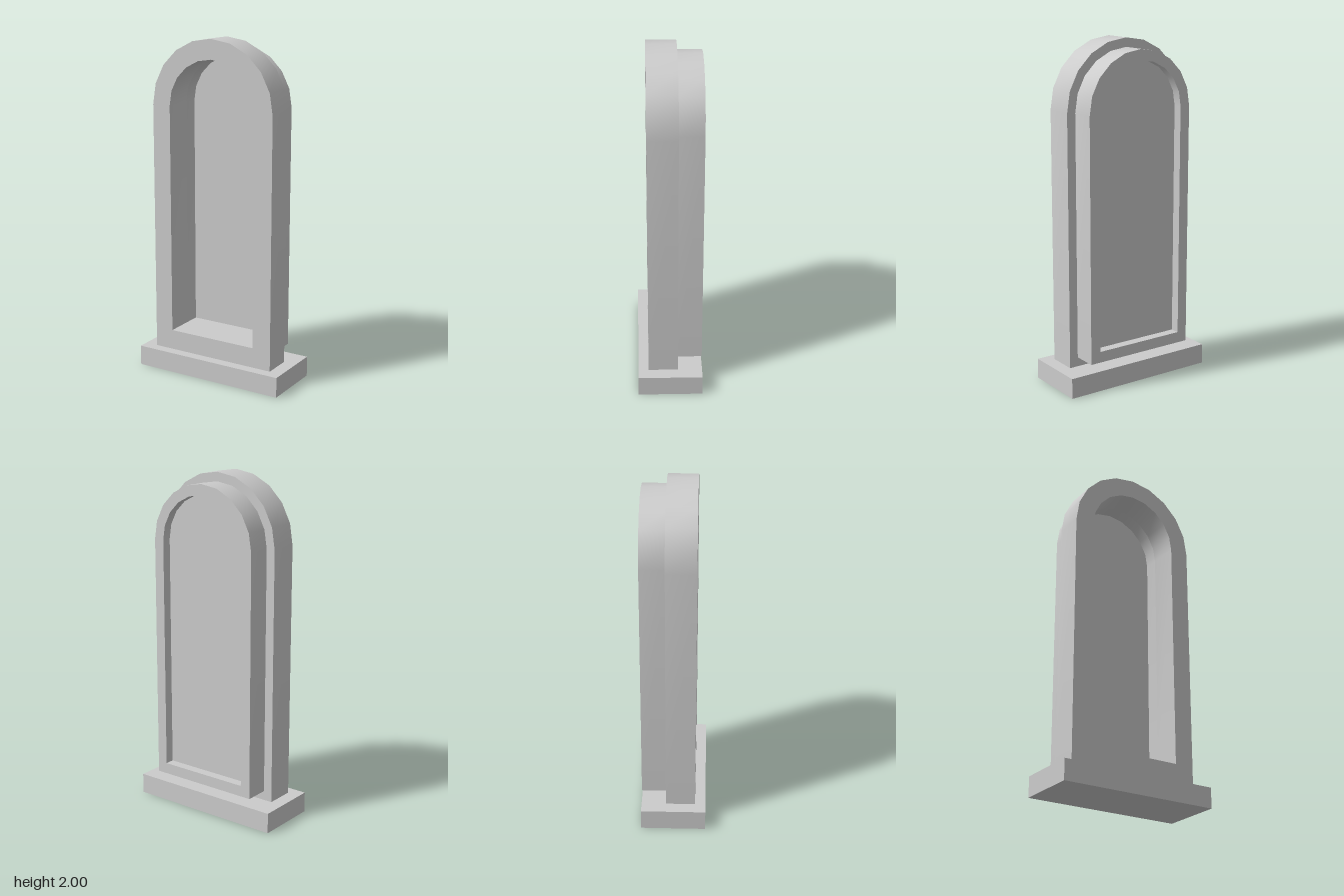
import * as THREE from 'three';
import { toCreasedNormals } from 'three/addons/utils/BufferGeometryUtils.js';

const SPRING = 1.605; // height where the arches start to curve
const ARC_STEPS = 5;  // an arc gets twice this many segments

// Round-topped outline: straight jambs below a semicircle
function archOutline(path, halfWidth, bottom) {
  path.moveTo(-halfWidth, bottom);
  path.lineTo(halfWidth, bottom);
  path.lineTo(halfWidth, SPRING);
  path.absarc(0, SPRING, halfWidth, 0, Math.PI, false);
  path.lineTo(-halfWidth, bottom);
  return path;
}

export function createModel() {
  const group = new THREE.Group();
  const material = new THREE.MeshStandardMaterial({ color: 0xcccccc });
  const openingHalf = 0.28, openingBottom = 0.24;

  function add(name, geometry, mat = material) {
    const mesh = new THREE.Mesh(geometry, mat);
    mesh.name = name;
    group.add(mesh);
    return mesh;
  }

  // Arched ring running from zBack to zFront, with the shared opening
  function addFrame(name, halfWidth, bottom, zBack, zFront) {
    const shape = archOutline(new THREE.Shape(), halfWidth, bottom);
    shape.holes.push(archOutline(new THREE.Path(), openingHalf, openingBottom));
    const geometry = new THREE.ExtrudeGeometry(shape, {
      depth: zFront - zBack, bevelEnabled: false, curveSegments: ARC_STEPS,
    });
    geometry.translate(0, 0, zBack);
    add(name, toCreasedNormals(geometry, Math.PI / 6));
  }

  // Front surround stands on the sill; the narrower rear one sits behind it
  addFrame('frontFrame', 0.395, 0.12, -0.045, 0.127);
  addFrame('rearFrame', 0.342, 0.175, -0.188, -0.045);

  // Thin pane filling the opening, seen from both sides
  const paneShape = archOutline(new THREE.Shape(), openingHalf, openingBottom);
  const paneMaterial = new THREE.MeshStandardMaterial({ color: 0xcccccc, side: THREE.DoubleSide });
  add('pane', new THREE.ShapeGeometry(paneShape, ARC_STEPS), paneMaterial).position.z = -0.132;

  // Sill slab
  add('sill', new THREE.BoxGeometry(0.946, 0.12, 0.376)).position.y = 0.06;

  return group;
}
